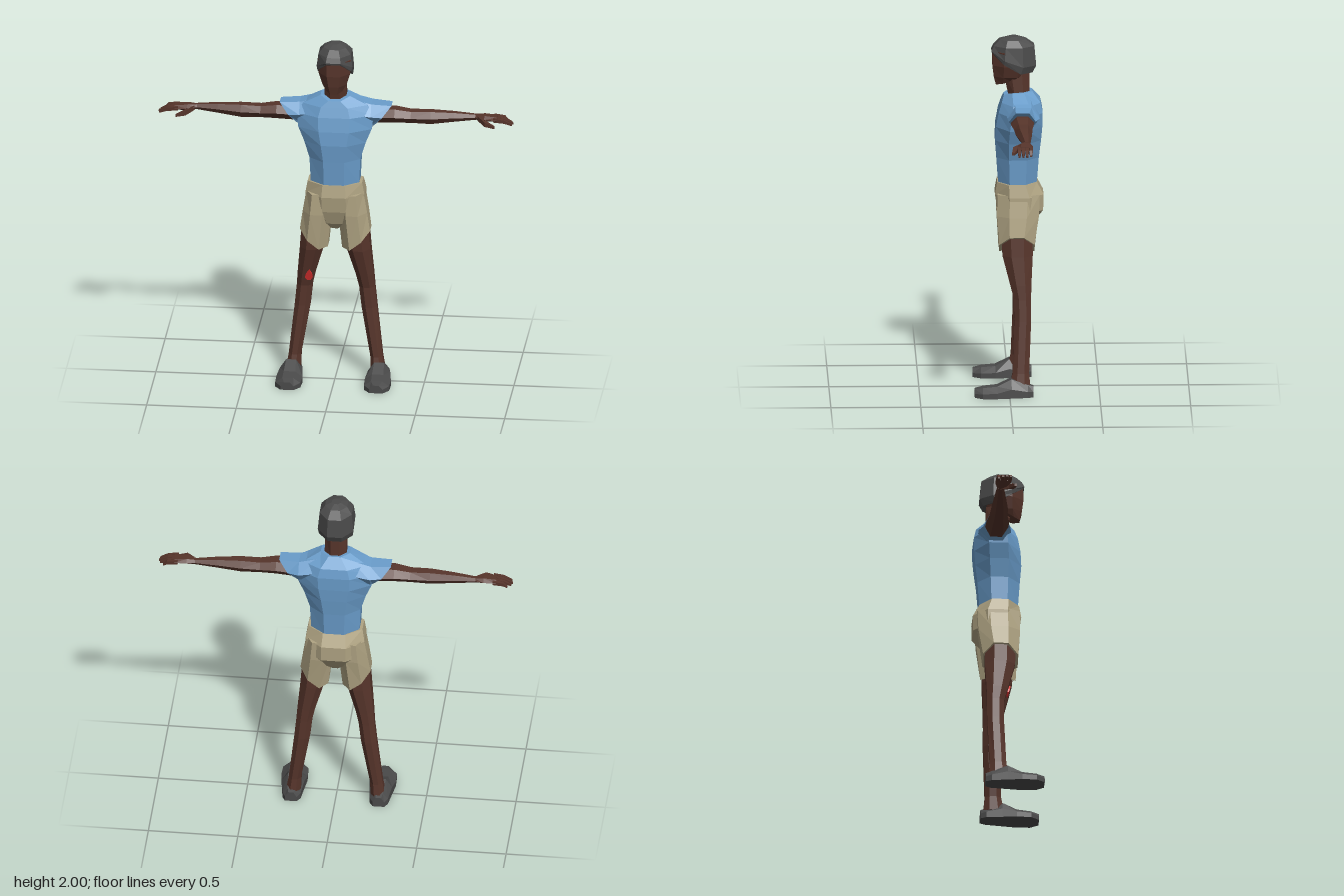
import * as THREE from 'three';

const mat = (name, color) => new THREE.MeshStandardMaterial({ name, color, flatShading: true, side: THREE.DoubleSide });

// Unit cross-sections (0..1 in both directions)
const polygon = (n, turn) => {
  const k = 0.5 / Math.cos(turn ? Math.PI / n : 0);
  return Array.from({ length: n }, (_, i) => {
    const a = (i + turn) * 2 * Math.PI / n;
    return [0.5 + k * Math.cos(a), 0.5 + k * Math.sin(a)];
  });
};
const OCT = polygon(8, 0.5);
const HEX = polygon(6, 0);
const DIAMOND = polygon(4, 0.5);
const SHOE = [[0, 0], [1, 0], [1, 0.5], [0.72, 1], [0.28, 1], [0, 0.5]];
const mix = (a, b, t) => a + (b - a) * t;

// Rings facing each axis
const ringY = (y, x0, x1, z0, z1, shape = OCT) => shape.map(([u, v]) => {
  const x = mix(x0, x1, u), z = mix(z0, z1, v);
  return [x, typeof y === 'function' ? y(x, z) : y, z];
});
const ringX = (x, y0, y1, z0, z1, shape = HEX) => shape.map(([u, v]) => [x, mix(y0, y1, v), mix(z0, z1, u)]);
const ringZ = (z, x0, x1, y0, y1) => SHOE.map(([u, v]) => [mix(x0, x1, u), mix(y0, y1, v), z]);

// Capped skin over a row of rings, wound outward; side -1 mirrors it
function loft(rings, side = 1) {
  const tris = [], n = rings[0].length;
  const centre = r => [0, 1, 2].map(k => r.reduce((s, p) => s + p[k], 0) / n);
  const first = rings[0], last = rings[rings.length - 1];
  const c0 = centre(first), c1 = centre(last);
  for (let j = 0; j < n; j++) {
    const k = (j + 1) % n;
    for (let i = 0; i + 1 < rings.length; i++) {
      const a = rings[i], b = rings[i + 1];
      tris.push([a[j], a[k], b[k]], [a[j], b[k], b[j]]);
    }
    tris.push([c0, first[k], first[j]], [c1, last[j], last[k]]);
  }
  const V = p => new THREE.Vector3(p[0] * side, p[1], p[2]);
  const o = V(c0);
  let volume = 0;
  const out = tris.map(t => t.map(V));
  for (const [a, b, c] of out) {
    volume += a.clone().sub(o).dot(b.clone().sub(o).cross(c.clone().sub(o)));
  }
  const points = out.flatMap(([a, b, c]) => (volume < 0 ? [a, c, b] : [a, b, c]));
  const g = new THREE.BufferGeometry().setFromPoints(points);
  g.computeVertexNormals();
  return g;
}

export function createModel() {
  const model = new THREE.Group();
  const skin = mat('brown skin', 0x57352b);
  const shirt = mat('blue shirt', 0x6a9dcb);
  const khaki = mat('khaki shorts', 0xb0a483);
  const grey = mat('dark grey', 0x4b4b4b);
  const red = mat('red', 0xd8302f);
  const add = (name, material, rings, side = 1) => {
    const m = new THREE.Mesh(loft(rings, side), material);
    m.name = name;
    model.add(m);
  };

  // Head and neck
  add('neck', skin, [
    ringY(1.6, -0.075, 0.075, -0.13, 0.0),
    ringY(1.68, -0.062, 0.062, -0.115, 0.005),
    ringY(1.8, -0.058, 0.058, -0.115, 0.03),
  ]);
  add('head', skin, [
    ringY((x, z) => 1.745 - z * 0.25, -0.045, 0.045, -0.05, 0.072),
    ringY(1.775, -0.068, 0.068, -0.1, 0.084),
    ringY(1.84, -0.088, 0.088, -0.125, 0.092),
    ringY(1.92, -0.092, 0.092, -0.13, 0.09),
    ringY(1.96, -0.06, 0.06, -0.09, 0.05),
  ]);
  const rise = z => THREE.MathUtils.clamp((z + 0.03) / 0.12, 0, 1);
  add('hair', grey, [
    ringY((x, z) => 1.8 + 0.112 * rise(z), -0.094, 0.094, -0.132, 0.094),
    ringY((x, z) => 1.84 + 0.082 * rise(z), -0.1, 0.1, -0.152, 0.097),
    ringY(1.95, -0.09, 0.09, -0.142, 0.084),
    ringY(1.985, -0.062, 0.062, -0.095, 0.05),
    ringY(2.0, -0.025, 0.025, -0.055, 0.0),
  ]);

  // Shirt body, collar dipping at the front
  add('shirtBody', shirt, [
    ringY(1.175, -0.135, 0.135, -0.155, 0.06),
    ringY(1.32, -0.142, 0.142, -0.166, 0.07),
    ringY(1.42, -0.172, 0.172, -0.178, 0.078),
    ringY(1.5, -0.205, 0.205, -0.185, 0.073),
    ringY(1.58, -0.215, 0.215, -0.187, 0.058),
    ringY(1.635, -0.18, 0.18, -0.175, 0.04),
    ringY((x, z) => 1.692 - 0.045 * rise(z), -0.082, 0.082, -0.13, 0.028),
  ]);

  // Shorts seat
  add('shortsSeat', khaki, [
    ringY(1.18, -0.152, 0.152, -0.155, 0.066),
    ringY(1.11, -0.165, 0.165, -0.192, 0.078),
    ringY(1.02, -0.165, 0.165, -0.19, 0.065),
    ringY(0.94, -0.1, 0.1, -0.13, 0.035),
    ringY(0.9, -0.035, 0.035, -0.09, 0.0),
  ]);

  for (const side of [1, -1]) {
    const tag = side > 0 ? 'left' : 'right';

    // Sleeve with a slanted opening
    add(tag + 'Sleeve', shirt, [
      ringX(0.09, 1.51, 1.675, -0.165, 0.02),
      ringX(0.2, 1.505, 1.645, -0.168, 0.012),
      ringX(0, 1.5, 1.64, -0.145, 0.005).map(([, y, z]) => [0.205 + (y - 1.5) * 0.82, y, z]),
    ], side);

    // Arm
    add(tag + 'Arm', skin, [
      ringX(0.16, 1.515, 1.61, -0.14, -0.01),
      ringX(0.33, 1.525, 1.615, -0.132, -0.005),
      ringX(0.42, 1.525, 1.6, -0.122, -0.02),
      ringX(0.53, 1.52, 1.603, -0.118, -0.026),
      ringX(0.66, 1.536, 1.596, -0.11, -0.045),
      ringX(0.79, 1.551, 1.583, -0.102, -0.065),
    ], side);

    // Hand
    add(tag + 'Palm', skin, [
      ringX(0.775, 1.552, 1.582, -0.1, -0.064),
      ringX(0.83, 1.55, 1.588, -0.115, -0.03),
      ringX(0.9, 1.553, 1.582, -0.115, -0.025),
    ], side);
    [[-0.103, 0.962], [-0.081, 0.982], [-0.06, 0.99], [-0.038, 0.985]].forEach(([z, tip], i) => {
      add(tag + 'Finger' + (i + 1), skin, [
        ringX(0.88, 1.557, 1.579, z - 0.01, z + 0.01, DIAMOND),
        ringX(0.94, 1.552, 1.571, z - 0.009, z + 0.009, DIAMOND),
        ringX(tip, 1.538, 1.548, z - 0.005, z + 0.006, DIAMOND),
      ], side);
    });
    add(tag + 'Thumb', skin, [
      ringX(0.79, 1.552, 1.578, -0.085, -0.06, DIAMOND),
      ringX(0.835, 1.538, 1.565, -0.04, -0.006, DIAMOND),
      ringX(0.89, 1.53, 1.543, -0.012, 0.002, DIAMOND),
    ], side);

    // Shorts leg, hem higher on the outside
    add(tag + 'ShortsLeg', khaki, [
      ringY(1.12, 0.03, 0.16, -0.17, 0.065),
      ringY(1.0, 0.018, 0.18, -0.165, 0.068),
      ringY(x => 0.79 + 0.1 * THREE.MathUtils.clamp((x - 0.11) / 0.08, 0, 1), 0.04, 0.196, -0.14, 0.056),
    ], side);

    // Leg
    add(tag + 'Leg', skin, [
      ringY(0.92, 0.045, 0.186, -0.13, 0.045),
      ringY(0.78, 0.065, 0.197, -0.13, 0.038),
      ringY(0.62, 0.112, 0.212, -0.122, -0.004),
      ringY(0.54, 0.13, 0.218, -0.12, -0.025),
      ringY(0.42, 0.143, 0.23, -0.12, -0.027),
      ringY(0.13, 0.193, 0.262, -0.108, -0.016),
      ringY(0.05, 0.195, 0.275, -0.115, -0.0),
    ], side);

    // Shoe
    add(tag + 'Shoe', grey, [
      ringZ(-0.132, 0.212, 0.278, 0, 0.058),
      ringZ(-0.1, 0.193, 0.295, 0, 0.068),
      ringZ(-0.01, 0.183, 0.308, 0, 0.102),
      ringZ(0.07, 0.173, 0.32, 0, 0.062),
      ringZ(0.15, 0.178, 0.318, 0, 0.054),
      ringZ(0.195, 0.212, 0.285, 0, 0.045),
    ], side);
  }

  // Red teardrop on the right knee
  const drop = new THREE.Shape();
  drop.moveTo(0.005, 0.038);
  [[-0.014, 0.012], [-0.022, -0.012], [-0.01, -0.03], [0.01, -0.03], [0.022, -0.012], [0.018, 0.012]]
    .forEach(([x, y]) => drop.lineTo(x, y));
  const patch = new THREE.Mesh(new THREE.ExtrudeGeometry(drop, { depth: 0.009, bevelEnabled: false }), red);
  patch.name = 'kneePatch';
  patch.position.set(-0.146, 0.615, -0.003);
  patch.rotation.x = 0.25;
  model.add(patch);

  return model;
}
